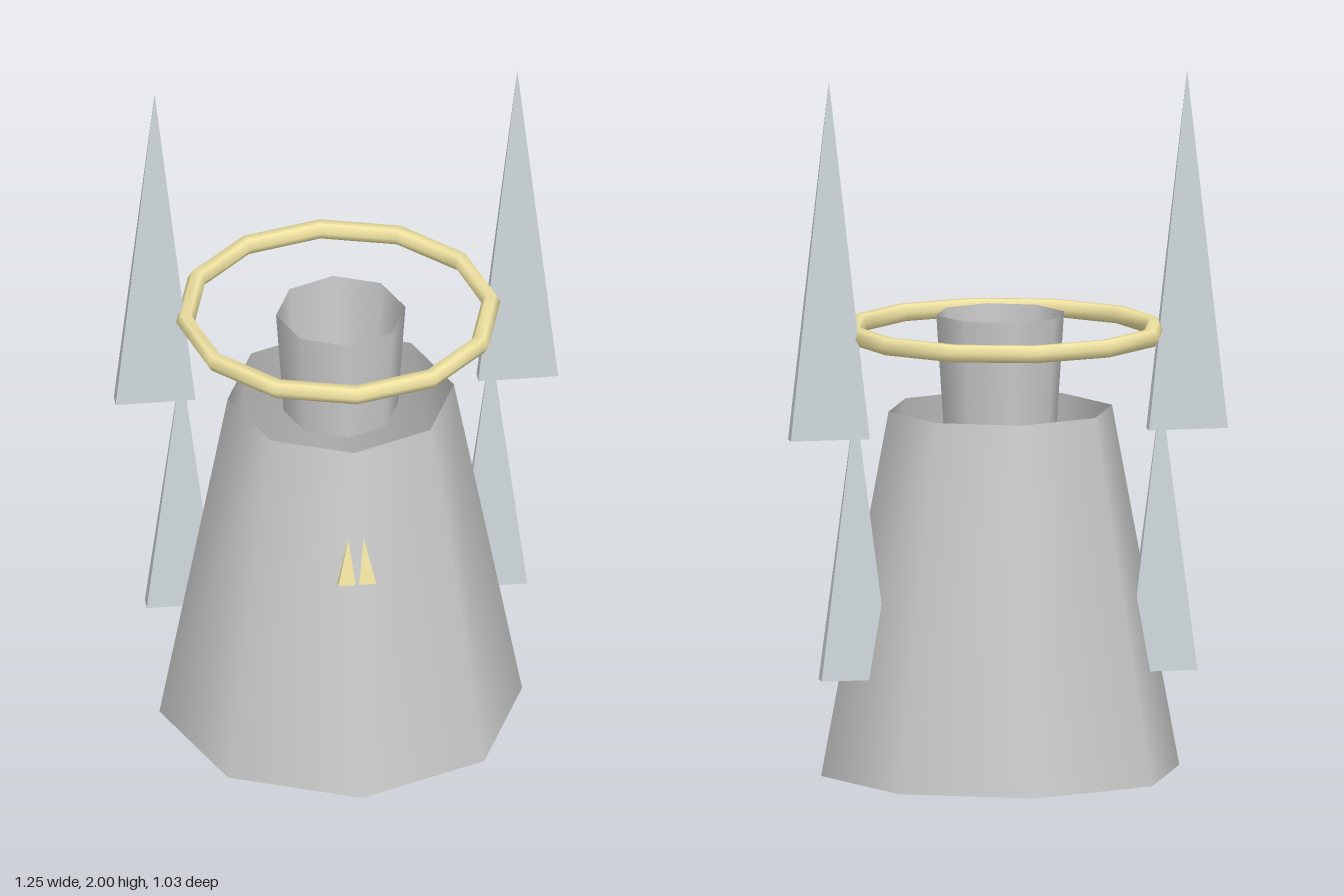
import * as THREE from 'three';

const grey = new THREE.MeshStandardMaterial({ color: 0xcccccc, side: THREE.DoubleSide });
const pale = new THREE.MeshStandardMaterial({ color: 0xcfd8dc, side: THREE.DoubleSide, flatShading: true });
const gold = new THREE.MeshStandardMaterial({ color: 0xf0e3a2 });
const goldFlat = new THREE.MeshStandardMaterial({ color: 0xf0e3a2, side: THREE.DoubleSide, flatShading: true });

function add(group, name, geometry, material, x, y, z) {
  const mesh = new THREE.Mesh(geometry, material);
  mesh.name = name;
  mesh.position.set(x, y, z);
  group.add(mesh);
  return mesh;
}

// Open eight-sided tapered tube standing on y = 0
function tube(top, bottom, height) {
  return new THREE.CylinderGeometry(top, bottom, height, 8, 1, true).translate(0, height / 2, 0);
}

// Four-sided spike with a rectangular base on y = 0
function spike(width, height, depth) {
  return new THREE.ConeGeometry(Math.SQRT1_2, 1, 4)
    .rotateY(Math.PI / 4)
    .translate(0, 0.5, 0)
    .scale(width, height, depth);
}

export function createModel() {
  const group = new THREE.Group();
  group.name = 'robedFigure';

  // Robe and neck, both open at the ends
  add(group, 'robe', tube(0.32, 0.513, 1.03), grey, 0, 0, 0);
  add(group, 'neck', tube(0.183, 0.162, 0.32), grey, 0, 0.98, 0);

  // Floating ring around the neck
  const ring = new THREE.TorusGeometry(0.432, 0.027, 6, 12).rotateX(Math.PI / 2);
  add(group, 'halo', ring, gold, 0, 1.26, -0.058);

  // Small charm set into the front of the robe
  add(group, 'charm', spike(0.108, 0.225, 0.108), goldFlat, 0, 0.635, 0.338);

  // Upper and lower wing blades on each side
  for (const [side, sign] of [['left', 1], ['right', -1]]) {
    add(group, side + 'UpperWing', spike(0.226, 1.02, 0.041), pale, sign * 0.513, 0.975, -0.112);
    add(group, side + 'LowerWing', spike(0.2, 0.79, 0.046), pale, sign * 0.438, 0.29, -0.112);
  }
  return group;
}
